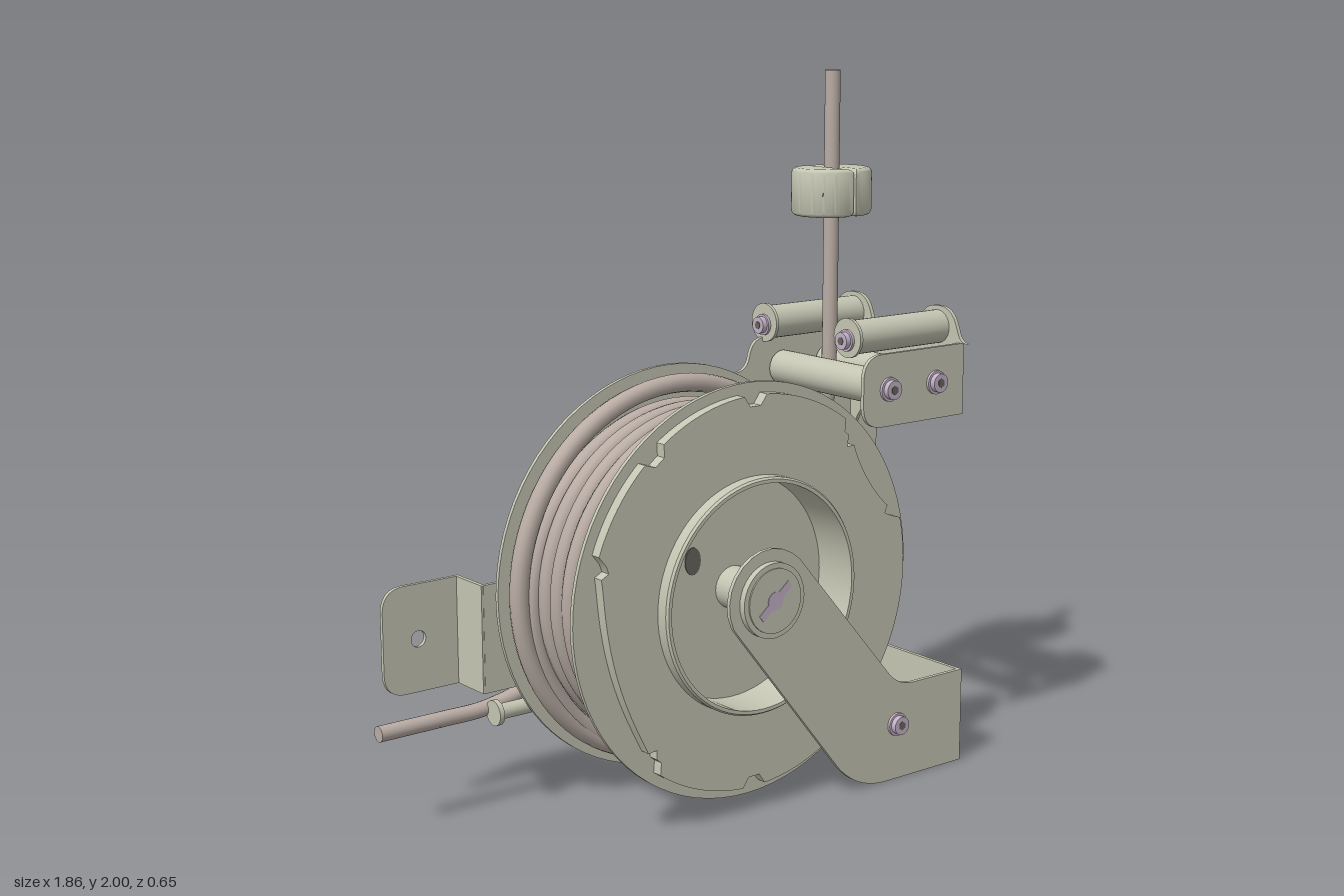
import * as THREE from 'three';
import { toCreasedNormals } from 'three/addons/utils/BufferGeometryUtils.js';

const paint = (color) => new THREE.MeshStandardMaterial({ color });
const V = (x, y, z) => new THREE.Vector3(x, y, z);
const CX = -0.02, CY = 0.62; // reel axis

export function createModel() {
  const group = new THREE.Group();
  const body = paint(0xc4c5b2), hoseMat = paint(0xb9aca4), boltMat = paint(0xc4b2c6), dark = paint(0x66645c);

  const add = (name, geo, mat = body, x = 0, y = 0, z = 0) => {
    const m = new THREE.Mesh(geo, mat);
    m.name = name;
    m.position.set(x, y, z);
    group.add(m);
    return m;
  };

  // closed outline from [x, y, cornerRadius] points
  const outline = (pts, holes = []) => {
    const s = new THREE.Shape();
    const n = pts.length;
    pts.forEach(([x, y, r = 0], i) => {
      const p = new THREE.Vector2(x, y);
      const toward = (q) => new THREE.Vector2(q[0], q[1]).sub(p).setLength(r).add(p);
      const a = toward(pts[(i + n - 1) % n]), b = toward(pts[(i + 1) % n]);
      if (i === 0) s.moveTo(a.x, a.y); else s.lineTo(a.x, a.y);
      if (r) s.quadraticCurveTo(x, y, b.x, b.y);
    });
    s.closePath();
    for (const [x, y, r] of holes) s.holes.push(new THREE.Path().absarc(x, y, r, 0, Math.PI * 2, true));
    return s;
  };
  const sheet = (shape, depth = 0.012) =>
    toCreasedNormals(new THREE.ExtrudeGeometry(shape, { depth, bevelEnabled: false, curveSegments: 20 }), 0.5);

  // cylinder lying along x, y or z
  const rod = (name, axis, r, len, x, y, z, mat = body, seg = 28) => {
    const g = new THREE.CylinderGeometry(r, r, len, seg);
    if (axis === 'x') g.rotateZ(-Math.PI / 2);
    if (axis === 'z') g.rotateX(Math.PI / 2);
    return add(name, g, mat, x, y, z);
  };
  // button-head bolt with washer and socket, pointing along dir (+1 / -1)
  const bolt = (axis, dir, x, y, z, s = 1) => {
    const off = (d) => (axis === 'x' ? [x + d * dir, y, z] : [x, y, z + d * dir]);
    rod('washer', axis, 0.034 * s, 0.008, ...off(0.004), boltMat);
    rod('boltHead', axis, 0.027 * s, 0.02, ...off(0.014), boltMat);
    rod('boltSocket', axis, 0.013 * s, 0.002, ...off(0.0245), dark, 6);
  };

  // drum with both flanges and a deep front recess
  const profile = [[0, -0.157], [0.58, -0.157], [0.58, -0.145], [0.437, -0.145], [0.437, 0.193], [0.58, 0.193],
    [0.58, 0.205], [0.33, 0.205], [0.33, 0.27], [0.325, 0.277], [0.315, 0.277], [0.315, 0.14], [0, 0.14]];
  const drum = new THREE.LatheGeometry(profile.map(([r, y]) => new THREE.Vector2(r, y)), 80);
  add('drum', toCreasedNormals(drum.rotateX(Math.PI / 2), 0.5), body, CX, CY, 0);
  rod('inletHole', 'z', 0.035, 0.004, -0.16, 0.715, 0.141, dark).scale.set(0.75, 1.1, 1);

  // notched ring on the front flange
  const notches = [17, 50, 90, 128, 163, 230, 270, 310];
  const ringPts = [];
  for (let a = 0; a < 360; a += 2) {
    let r = 0.55;
    for (const [lo, hi] of [[17, 50], [163, 230]])
      if (a > lo && a < hi) r -= 0.065 * Math.sqrt(Math.sin(((a - lo) / (hi - lo)) * Math.PI));
    if (notches.some((n) => Math.abs(n - a) < 2.5)) r -= 0.03;
    const t = (a * Math.PI) / 180;
    ringPts.push([r * Math.cos(t), r * Math.sin(t)]);
  }
  add('notchedRing', sheet(outline(ringPts, [[0, 0, 0.33]]), 0.032), body, CX, CY, 0.204);

  // hub, its cap and the keyed shaft end
  rod('hubShaft', 'z', 0.06, 0.16, CX, CY, 0.21);
  rod('hubCap', 'z', 0.105, 0.022, CX, CY, 0.308, body, 40);
  rod('hubCapFace', 'z', 0.09, 0.006, CX, CY, 0.32, body, 40);
  const key = add('shaftKey', new THREE.BoxGeometry(0.13, 0.022, 0.004), boltMat, CX, CY, 0.323);
  key.rotation.z = 0.7;
  rod('shaftEnd', 'z', 0.026, 0.004, CX, CY, 0.323, boltMat);

  // wound hose: helix with a larger last turn, leaving upward through the rollers
  const wound = [];
  const turns = 7, per = 24;
  for (let i = 0; i <= turns * per; i++) {
    const t = i / per, a = t * Math.PI * 2;
    const k = THREE.MathUtils.smoothstep(t, 5.3, 5.8);
    const r = 0.464 + 0.066 * k;
    wound.push(V(CX + r * Math.cos(a), CY + r * Math.sin(a), Math.max(0.166 - t * 0.054, -0.118)));
  }
  add('woundHose', new THREE.TubeGeometry(new THREE.CatmullRomCurve3(wound), 560, 0.0265, 12), hoseMat);
  const rise = new THREE.CatmullRomCurve3([V(0.51, 0.6, -0.118), V(0.51, 0.85, -0.105), V(0.51, 1.1, -0.075), V(0.51, 1.3, -0.07)]);
  add('risingHose', new THREE.TubeGeometry(rise, 30, 0.022, 16), hoseMat);
  rod('hoseEnd', 'y', 0.022, 0.72, 0.51, 1.64, -0.07, hoseMat);

  // inlet hose curving out of the back plate
  const inlet = new THREE.CatmullRomCurve3([V(-0.14, 0.84, -0.15), V(-0.16, 0.81, -0.215), V(-0.19, 0.7, -0.23),
    V(-0.26, 0.5, -0.23), V(-0.4, 0.35, -0.23), V(-0.58, 0.295, -0.23), V(-0.75, 0.29, -0.23)]);
  add('inletHose', new THREE.TubeGeometry(inlet, 60, 0.022, 16), hoseMat);
  rod('inletHoseEnd', 'x', 0.022, 0.18, -0.84, 0.29, -0.23, hoseMat);
  rod('inletFitting', 'x', 0.022, 0.13, -0.53, 0.29, -0.185);
  rod('inletCollar', 'x', 0.036, 0.015, -0.59, 0.29, -0.185);

  // split hose stop
  for (const s of [-1, 1]) {
    const half = new THREE.Shape().absarc(0, 0, 0.084, 0, Math.PI, false);
    half.closePath();
    const g = new THREE.ExtrudeGeometry(half, { depth: 0.104, bevelSize: 0.016, bevelThickness: 0.016, bevelSegments: 4, curveSegments: 28 });
    g.translate(0, 0.02, -0.052).rotateX(-Math.PI / 2).rotateY((s * Math.PI) / 2);
    add('hoseStopHalf', toCreasedNormals(g, 0.6), body, 0.51, 1.658, -0.07);
    rod('stopScrewHole', 'x', 0.015, 0.024, 0.51 + s * 0.081, 1.658, -0.07 - s * 0.055, dark, 16);
  }

  // back plate with mounting tab on the far side
  add('backPlate', sheet(outline([[0.7, 0.07], [0.7, 1.235], [0.31, 1.235, 0.06], [0.3, 1.14, 0.05], [-0.27, 1.13, 0.15],
    [-0.44, 0.99, 0.09], [-0.27, 0.84, 0.08], [-0.27, 0.66, 0.06], [-0.62, 0.655], [-0.62, 0.35], [-0.34, 0.35, 0.1],
    [-0.16, 0.21, 0.1], [0.14, 0.28, 0.08], [0.24, 0.07, 0.06]], [[0.06, 0.78, 0.016]])), body, 0, 0, -0.198);
  add('tabWeb', new THREE.BoxGeometry(0.012, 0.305, 0.138), body, -0.62, 0.5025, -0.256);
  add('mountingTab', sheet(outline([[-0.614, 0.35], [-0.614, 0.655], [-0.86, 0.655, 0.07], [-0.86, 0.35, 0.07]],
    [[-0.75, 0.5, 0.023]])), body, 0, 0, -0.325);
  add('backPlateFlange', new THREE.BoxGeometry(0.012, 1.0, 0.11), body, 0.688, 0.55, -0.245);
  for (const [x, y] of [[-0.1, 0.56], [0.05, 0.56], [-0.05, 0.69], [0.02, 0.66], [-0.02, 0.61]])
    bolt('z', -1, x, y, -0.198, 0.55);

  // side plate: C-shaped, with ears for the rollers (u = -z)
  const ear = (c) => [[c + 0.095, 1.24, 0.025], [c + 0.055, 1.338, 0.05], [c - 0.055, 1.338, 0.05], [c - 0.095, 1.24, 0.025]];
  const side = sheet(outline([[-0.3, 0], [-0.25, 0], [-0.25, 0.04], [-0.21, 0.04], [-0.21, 0], [-0.19, 0], [-0.19, 0.04],
    [-0.15, 0.04], [-0.15, 0], [0.32, 0], [0.32, 1.24], ...ear(0.18), ...ear(-0.18), [-0.277, 1.24], [-0.277, 1.035],
    [0.18, 1.035, 0.18], [0.18, 0.278, 0.18], [-0.3, 0.278]]));
  add('sidePlate', side.rotateY(Math.PI / 2), body, 0.7, 0, 0);

  // wall mounting flange
  add('wallFlange', sheet(outline([[0.705, 0], [0.925, 0, 0.07], [0.925, 1.24, 0.07], [0.705, 1.24]],
    [[0.82, 1.16, 0.024], [0.82, 0.085, 0.024]])), body, 0, 0, -0.325);

  // front arm, reaching from the lower corner to the hub
  const armPts = [[0.712, 0], [0.712, 0.278], [0.46, 0.278, 0.06], [0.085, 0.715]];
  for (let i = 1; i < 12; i++) {
    const a = 0.73 + (i / 12) * Math.PI;
    armPts.push([CX + 0.14 * Math.cos(a), CY + 0.14 * Math.sin(a)]);
  }
  armPts.push([-0.12, 0.525], [0.3, 0, 0.12]);
  add('frontArm', sheet(outline(armPts)), body, 0, 0, 0.288);
  bolt('z', 1, 0.455, 0.165, 0.3);

  // upper front flange holding the cross rollers
  add('upperFrontFlange', sheet(outline([[0.712, 1.035], [0.712, 1.24], [0.33, 1.24, 0.07], [0.33, 1.035, 0.07]])), body, 0, 0, 0.265);
  for (const x of [0.425, 0.602]) {
    rod('crossRoller', 'z', 0.05, 0.44, x, 1.14, 0.04);
    bolt('z', 1, x, 1.14, 0.277);
    bolt('z', -1, x, 1.14, -0.198);
  }

  // upper rollers between the ears
  for (const z of [-0.18, 0.18]) {
    rod('upperRoller', 'x', 0.048, 0.34, 0.53, 1.278, z);
    rod('rollerEndDisc', 'x', 0.056, 0.01, 0.358, 1.278, z);
    bolt('x', 1, 0.712, 1.272, z);
    bolt('x', -1, 0.353, 1.272, z, 0.9);
  }

  // bolts joining the side plate to the back plate flange
  for (const y of [0.175, 1.07]) {
    bolt('x', 1, 0.712, y, -0.25);
    rod('nut', 'x', 0.032, 0.05, 0.657, y, -0.25, boltMat, 6);
  }
  return group;
}
